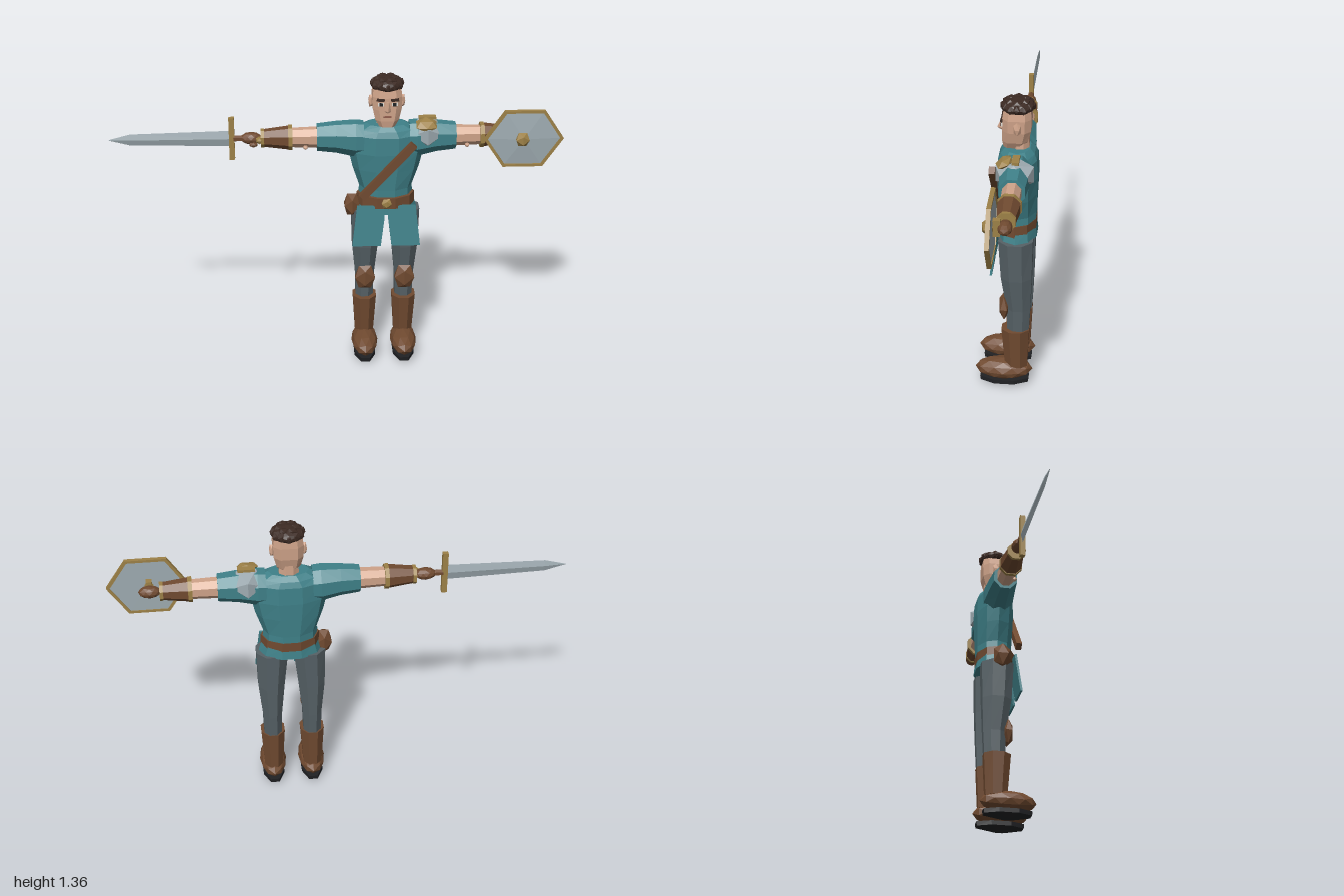
import * as THREE from 'three';

const mat = (name, color) => {
  const m = new THREE.MeshStandardMaterial({ color, flatShading: true, side: THREE.DoubleSide });
  m.name = name;
  return m;
};

// Closed low-poly body through rings [y, rx, rz, cx, cz]; square < 1 makes sections boxier
function loft(rings, n = 8, half = true, square = 1) {
  const pos = [], idx = [];
  const pw = v => Math.sign(v) * Math.pow(Math.abs(v), square);
  rings.forEach(([y, rx, rz, cx = 0, cz = 0]) => {
    for (let i = 0; i < n; i++) {
      const a = (i + (half ? 0.5 : 0)) / n * Math.PI * 2;
      pos.push(cx + rx * pw(Math.sin(a)), y, cz + rz * pw(Math.cos(a)));
    }
  });
  const last = (rings.length - 1) * n, c = rings.length * n;
  for (const [y, , , cx = 0, cz = 0] of [rings[0], rings[rings.length - 1]]) pos.push(cx, y, cz);
  for (let i = 0; i < n; i++) {
    const j = (i + 1) % n;
    for (let r = 0; r < last; r += n) idx.push(r + i, r + j, r + n + j, r + i, r + n + j, r + n + i);
    idx.push(c, j, i, c + 1, last + i, last + j);
  }
  const g = new THREE.BufferGeometry();
  g.setAttribute('position', new THREE.Float32BufferAttribute(pos, 3));
  g.setIndex(idx);
  g.computeVertexNormals();
  return g;
}

const blob = (rx, ry, rz, detail = 0) => new THREE.IcosahedronGeometry(1, detail).scale(rx, ry, rz);
const box = (x, y, z) => new THREE.BoxGeometry(x, y, z);

export function createModel() {
  const teal = mat('teal cloth', 0x3f8189), brown = mat('brown leather', 0x704a30);
  const hairM = mat('dark hair', 0x3c2a23), skin = mat('skin', 0xcfa389);
  const grey = mat('grey trousers', 0x566166), steel = mat('steel', 0x9eabb1);
  const gold = mat('brass', 0x9d8147), black = mat('black sole', 0x202124);
  const white = mat('eye white', 0xe0dcd4), lip = mat('lips', 0x8f5c4c);

  const model = new THREE.Group();
  const body = new THREE.Group();
  body.name = 'swordsman';
  body.position.x = 0.215;
  model.add(body);
  const add = (name, geo, m, x = 0, y = 0, z = 0, parent = body) => {
    const mesh = new THREE.Mesh(geo, m);
    mesh.name = name;
    mesh.position.set(x, y, z);
    parent.add(mesh);
    return mesh;
  };

  // Tunic, belt and skirt
  add('tunic', loft([
    [0.78, 0.122, 0.083], [0.85, 0.118, 0.083], [0.94, 0.148, 0.087], [1.02, 0.166, 0.09],
    [1.1, 0.163, 0.086], [1.125, 0.13, 0.075], [1.145, 0.088, 0.055]], 10), teal, 0, 0, -0.045);
  add('skirt', loft([[0.735, 0.142, 0.09], [0.79, 0.125, 0.084]], 10), teal, 0, 0, -0.043);
  add('belt', loft([[0.768, 0.131, 0.091], [0.818, 0.128, 0.091]], 10), brown, 0, 0, -0.038);
  add('buckle', blob(0.026, 0.026, 0.015), gold, 0, 0.795, 0.051);
  add('pouch', blob(0.04, 0.062, 0.045), brown, -0.15, 0.758, -0.03);
  for (const s of [-1, 1]) {
    const tab = new THREE.Shape([[0.008, 0], [0.13, 0], [0.152, -0.19], [0.024, -0.19], [0.008, -0.06]]
      .map(([x, y]) => new THREE.Vector2(s * x, y)));
    const geo = new THREE.ExtrudeGeometry(tab, { depth: 0.01, bevelEnabled: false });
    add('frontTab', geo, teal, 0, 0.78, 0.032).rotation.x = -0.12;
  }

  // Chest strap
  add('chestStrap', box(0.335, 0.034, 0.026), brown, 0.002, 0.955, 0.056).rotation.z = 0.838;

  // Legs
  for (const s of [-1, 1]) {
    const leg = new THREE.Group();
    leg.name = s > 0 ? 'leftLeg' : 'rightLeg';
    leg.position.x = s * 0.09;
    body.add(leg);
    add('trouserLeg', loft([
      [0.26, 0.042, 0.05, 0, -0.053], [0.4, 0.046, 0.056, 0, -0.055],
      [0.56, 0.063, 0.072, 0, -0.046], [0.74, 0.076, 0.08, -s * 0.008, -0.042]]), grey, 0, 0, 0, leg);
    add('kneePad', blob(0.053, 0.067, 0.027), brown, 0, 0.405, 0.007, leg);
    add('bootShaft', loft([[0.1, 0.045, 0.053, 0, -0.045], [0.295, 0.058, 0.066, 0, -0.042]]), brown, 0, 0, 0, leg);
    add('boot', blob(0.061, 0.05, 0.128, 1), brown, 0, 0.077, 0.01, leg);
    add('sole', loft([[0, 0.02, 0.04], [0.016, 0.052, 0.115], [0.036, 0.052, 0.118]]), black, 0, 0, 0.007, leg);
  }

  // Arms, built upward and turned outward
  for (const s of [-1, 1]) {
    const arm = new THREE.Group();
    arm.name = s > 0 ? 'leftArm' : 'rightArm';
    arm.position.set(0, 1.08, -0.045);
    arm.rotation.z = -s * Math.PI / 2;
    body.add(arm);
    const up = -s; // local x that points to world up
    add('sleeve', loft([[0.1, 0.08, 0.07, -up * 0.008], [0.135, 0.084, 0.072, -up * 0.008],
      [0.22, 0.071, 0.064], [0.305, 0.061, 0.057]]), teal, 0, 0, 0, arm);
    add('forearm', loft([[0.29, 0.048, 0.042], [0.43, 0.043, 0.039]]), skin, 0, 0, 0, arm);
    add('elbow', blob(0.011, 0.011, 0.011), skin, -up * 0.035, 0.355, 0.032, arm);
    add('bracer', loft([[0.42, 0.054, 0.052], [0.545, 0.038, 0.037]]), brown, 0, 0, 0, arm);
    add('bracerBand', loft([[0.412, 0.056, 0.054], [0.43, 0.056, 0.054]]), gold, 0, 0, 0, arm);
    add('wristBand', loft([[0.535, 0.042, 0.041], [0.55, 0.042, 0.041]]), gold, 0, 0, 0, arm);
    add('glove', blob(0.027, 0.048, 0.03, 1), brown, 0, 0.592, 0, arm);
    add('thumb', blob(0.013, 0.02, 0.014), brown, -up * 0.022, 0.582, 0.022, arm);
  }

  // Shoulder guard
  add('shoulderGuard', blob(0.078, 0.068, 0.093), steel, 0.178, 1.1, -0.045);
  const plate = add('shoulderPlate', blob(0.052, 0.02, 0.042), gold, 0.172, 1.148, -0.002);
  plate.rotation.x = 0.45;
  add('shoulderRidge', box(0.075, 0.012, 0.03), gold, 0.18, 1.163, -0.05);

  // Head
  add('neck', loft([[1.1, 0.05, 0.042], [1.2, 0.042, 0.038]]), skin, 0, 0, -0.055);
  add('head', loft([
    [1.145, 0.036, 0.04, 0, -0.022], [1.175, 0.054, 0.056, 0, -0.033],
    [1.225, 0.066, 0.063, 0, -0.04], [1.28, 0.068, 0.064, 0, -0.041], [1.33, 0.06, 0.058, 0, -0.043]],
  8, true, 0.62), skin);
  add('nose', loft([[1.217, 0.012, 0.012], [1.225, 0.014, 0.024], [1.265, 0.007, 0.006]], 4, false), skin, 0, 0, 0.02);
  add('mouth', box(0.034, 0.007, 0.006), lip, 0, 1.196, 0.02);
  for (const s of [-1, 1]) {
    add('eye', box(0.026, 0.014, 0.006), white, s * 0.03, 1.254, 0.021);
    add('pupil', box(0.014, 0.014, 0.006), black, s * 0.029, 1.254, 0.023);
    add('eyebrow', box(0.034, 0.011, 0.009), hairM, s * 0.031, 1.274, 0.022).rotation.z = s * 0.1;
    add('ear', blob(0.013, 0.032, 0.018), skin, s * 0.069, 1.248, -0.045);
  }

  // Hair cap with a ring of tufts
  add('hair', blob(0.074, 0.035, 0.073, 1), hairM, 0, 1.328, -0.043);
  for (let i = 0; i < 12; i++) {
    const a = i / 12 * Math.PI * 2;
    add('hairTuft', blob(0.021, 0.022, 0.021), hairM,
      0.056 * Math.sin(a), 1.326 + 0.005 * (i % 2), -0.043 + 0.055 * Math.cos(a));
    if (i % 2) add('crownTuft', blob(0.024, 0.014, 0.024), hairM,
      0.034 * Math.sin(a), 1.35, -0.043 + 0.034 * Math.cos(a));
  }

  // Sword in the right hand
  const sword = new THREE.Group();
  sword.name = 'sword';
  sword.position.set(0, 1.08, -0.045);
  sword.rotation.z = Math.PI / 2;
  body.add(sword);
  add('blade', loft([[0.68, 0.036, 0.009], [1.12, 0.026, 0.007], [1.215, 0.001, 0.001]], 4, false), steel, 0, 0, 0, sword);
  add('crossGuard', box(0.195, 0.024, 0.022), gold, 0, 0.677, 0, sword);
  add('grip', loft([[0.56, 0.014, 0.014], [0.67, 0.014, 0.014]], 6), brown, 0, 0, 0, sword);
  add('pommel', blob(0.018, 0.018, 0.018), gold, 0, 0.555, 0.026, sword);

  // Six-sided shield on the left hand
  const shield = new THREE.Group();
  shield.name = 'shield';
  shield.position.set(0.6, 1.08, 0);
  body.add(shield);
  const hex = r => Array.from({ length: 6 }, (_, i) => new THREE.Vector2(
    r * Math.cos(i * Math.PI / 3), 0.865 * r * Math.sin(i * Math.PI / 3)));
  const rim = new THREE.Shape(hex(0.175));
  rim.holes.push(new THREE.Path(hex(0.16)));
  add('shieldRim', new THREE.ExtrudeGeometry(rim, { depth: 0.018, bevelEnabled: false }), gold, 0, 0, -0.002, shield);
  add('shieldFace', loft([[0.002, 0.165, 0.143], [0.008, 0.165, 0.143], [0.018, 0.03, 0.026]], 6)
    .rotateX(Math.PI / 2), steel, 0, 0, 0, shield);
  add('shieldBoss', blob(0.034, 0.036, 0.028), gold, -0.007, 0, 0.02, shield);
  add('shieldHandle', box(0.026, 0.07, 0.03), gold, -0.007, 0, -0.012, shield);

  return model;
}
